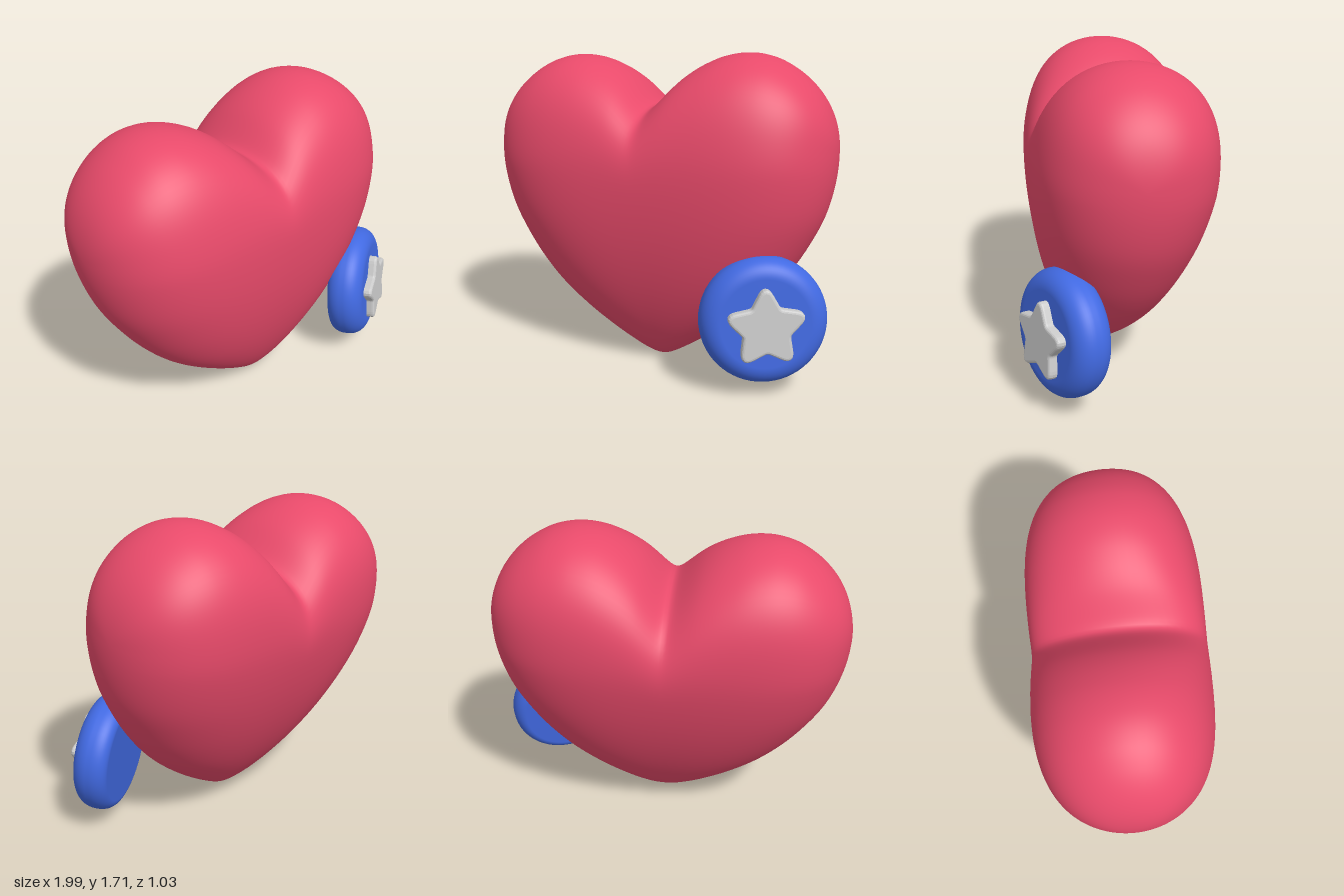
import * as THREE from 'three';
import { mergeVertices } from 'three/addons/utils/BufferGeometryUtils.js';

const HALF_WIDTH = 0.97, HALF_DEPTH = 0.48;

// Smooth lookup through ten evenly spaced values; the last argument continues the curve past its end
function lookup(values, after) {
  const all = [2 * values[0] - values[1], ...values, after];
  const curve = new THREE.SplineCurve(all.map((v, i) => new THREE.Vector2(i, v)));
  return u => curve.getPoint((1 + 9 * u) / 11).y;
}

// Heart outline from the centre line (0) to the side (1), rounded off at the centre line
const soft = (t, e) => Math.sqrt(t * t + e * e * (1 - t * t));
const upper = lookup([1.4, 1.58, 1.674, 1.704, 1.682, 1.62, 1.535, 1.432, 1.312, 1.18], 1.02);
const lower = lookup([-0.05, 0.062, 0.17, 0.283, 0.406, 0.55, 0.705, 0.855, 1.02, 1.18], 1.31);
const topY = t => upper(soft(t, 0.02));
const bottomY = t => lower(soft(t, 0.05));

// Half width of the lower outline at a given height, found by bisection
function widthAt(y) {
  let low = 0, high = 1;
  for (let k = 0; k < 30; k++) {
    const t = (low + high) / 2;
    if (bottomY(t) < y) low = t; else high = t;
  }
  return Math.max(HALF_WIDTH * Math.sin(high * Math.PI / 2), 1e-6);
}

// Half depth of the heart at a point inside its outline
function depthAt(x, y, top) {
  const below = THREE.MathUtils.clamp(1 - y / 1.2, 0, 1);
  const spine = (1 - below ** 1.9) ** 0.72;
  const n = 2.2 + 1.8 * Math.min(1, y / 1.1);
  const side = Math.min(1, x / widthAt(y)) ** n;
  const start = 0.95 + 0.23 * (x / HALF_WIDTH) ** 4;
  const rise = THREE.MathUtils.clamp((y - start) / Math.max(top - start, 1e-6), 0, 1) ** 3.4;
  return HALF_DEPTH * spine * Math.sqrt((1 - side) * (1 - rise));
}

// Slices stacked from one side of the heart to the other
function heartGeometry(slices = 180, around = 96) {
  const positions = [], index = [];
  for (let i = 0; i <= slices; i++) {
    const t = (2 * i) / slices - 1;
    const x = HALF_WIDTH * Math.sin(t * Math.PI / 2);
    const top = topY(Math.abs(t)), bottom = bottomY(Math.abs(t));
    for (let j = 0; j < around; j++) {
      const a = (j / around) * Math.PI * 2;
      const y = (top + bottom) / 2 + (top - bottom) / 2 * Math.sin(a);
      positions.push(x, y, Math.sign(Math.cos(a)) * depthAt(Math.abs(x), y, top));
      if (i < slices) {
        const p = i * around + j, q = i * around + (j + 1) % around;
        index.push(p, p + around, q + around, p, q + around, q);
      }
    }
  }
  let geometry = new THREE.BufferGeometry();
  geometry.setAttribute('position', new THREE.Float32BufferAttribute(positions, 3));
  geometry.setIndex(index);
  geometry = mergeVertices(geometry, 1e-5);
  geometry.computeVertexNormals();
  return geometry;
}

// Round disc with a soft rim, its axis along z
function buttonGeometry() {
  const R = 0.33, H = 0.1;
  const profile = [new THREE.Vector2(0, -H)];
  const corner = (from, to, r, h, cy) => {
    for (let i = 0; i <= 12; i++) {
      const a = from + (to - from) * i / 12;
      profile.push(new THREE.Vector2(R - r + r * Math.cos(a), cy + h * Math.sin(a)));
    }
  };
  corner(-Math.PI / 2, 0, 0.06, 0.08, -H + 0.08);
  corner(0.05, Math.PI / 2, 0.1, 0.1, H - 0.1);
  profile.push(new THREE.Vector2(0, H));
  return new THREE.LatheGeometry(profile, 64).rotateX(Math.PI / 2);
}

// Five-pointed star with blunt tips
function starGeometry() {
  const bevel = 0.015, outer = 0.222 - bevel, inner = 0.124 - bevel;
  const points = [];
  for (let i = 0; i < 10; i++) {
    const a = Math.PI / 2 + i * Math.PI / 5;
    const r = i % 2 ? inner : outer;
    points.push(new THREE.Vector2(r * Math.cos(a), r * Math.sin(a)));
  }
  const shape = new THREE.Shape();
  points.forEach((p, i) => {
    const round = i % 2 ? 0.15 : 0.36;
    const start = p.clone().lerp(points[(i + 9) % 10], round);
    const end = p.clone().lerp(points[(i + 1) % 10], round);
    if (i === 0) shape.moveTo(start.x, start.y);
    else shape.lineTo(start.x, start.y);
    shape.quadraticCurveTo(p.x, p.y, end.x, end.y);
  });
  shape.closePath();
  return new THREE.ExtrudeGeometry(shape, {
    depth: 0.05, bevelThickness: bevel, bevelSize: bevel, bevelSegments: 3, curveSegments: 6,
  });
}

function part(name, geometry, color) {
  const mesh = new THREE.Mesh(geometry, new THREE.MeshStandardMaterial({ color }));
  mesh.name = name;
  return mesh;
}

export function createModel() {
  const model = new THREE.Group();
  model.name = 'heartWithBadge';

  // Puffy heart, leaning slightly back and to one side
  const heart = part('heart', heartGeometry(), 0xe84a6a);
  heart.position.set(0.025, 0, 0.11);
  heart.rotation.set(-0.115, 0.05, 0.047);
  model.add(heart);

  // Round badge with a raised star, set against the lower left of the heart
  const badge = new THREE.Group();
  badge.name = 'badge';
  badge.position.set(0.694, 0.406, 0.308);
  badge.rotation.set(-0.1, THREE.MathUtils.degToRad(29), 0, 'YXZ');
  badge.add(part('badgeDisc', buttonGeometry(), 0x4169e1));
  const star = part('badgeStar', starGeometry(), 0xcccccc);
  star.position.set(0, -0.014, 0.082);
  star.rotation.z = 0.03;
  badge.add(star);
  model.add(badge);

  return model;
}
